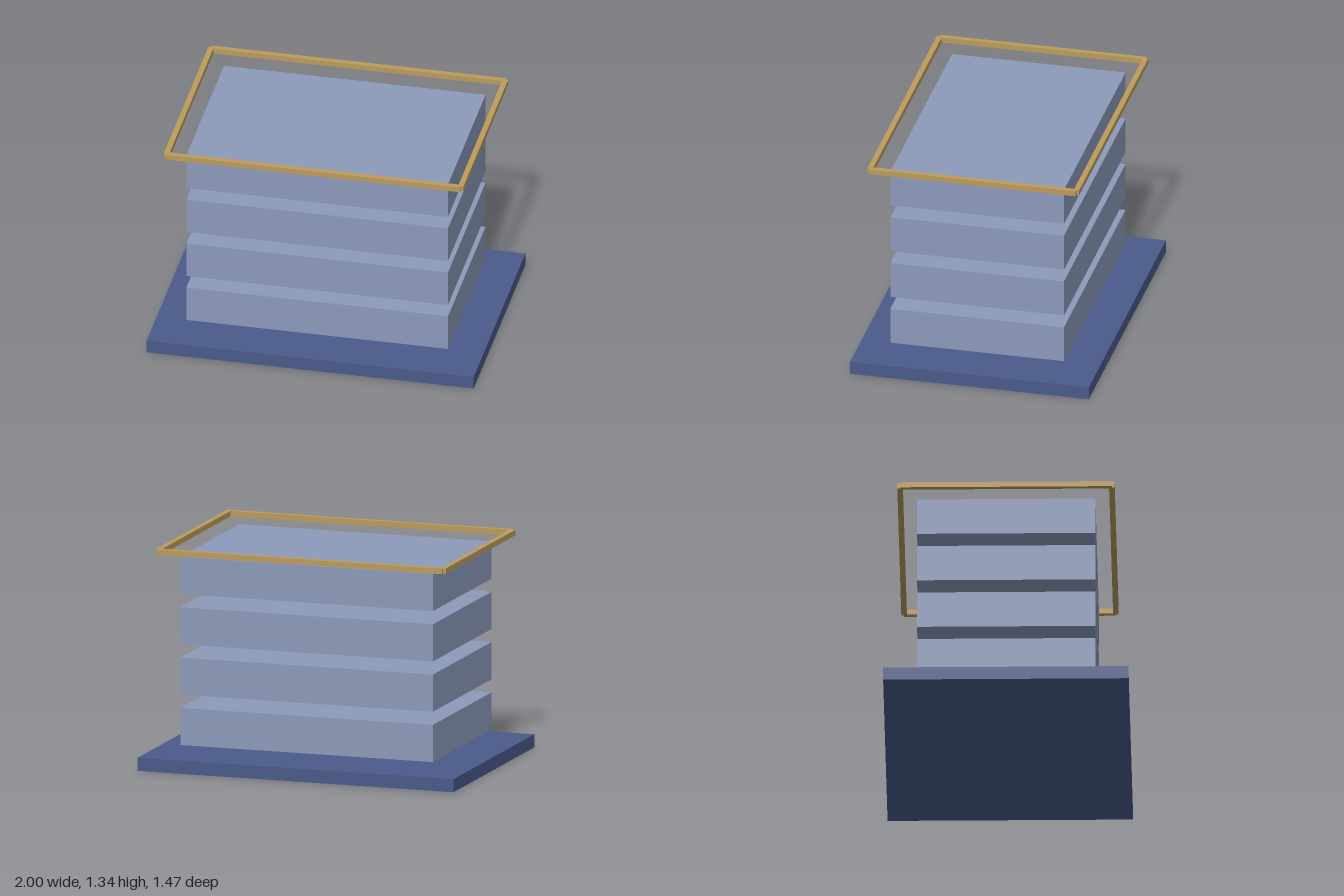
import * as THREE from 'three';

const material = (name, color) => {
  const m = new THREE.MeshStandardMaterial({ color });
  m.name = name;
  return m;
};

export function createModel() {
  const model = new THREE.Group();
  model.name = 'tieredBuilding';

  const navy = material('navy blue', 0x4a5a8a);
  const slate = material('pale slate blue', 0x8c9aba);
  const gold = material('muted gold', 0xbc9c5c);

  // Box placed by its bottom height
  const addBox = (parent, name, mat, [w, h, d], [x, bottom, z]) => {
    const mesh = new THREE.Mesh(new THREE.BoxGeometry(w, h, d), mat);
    mesh.name = name;
    mesh.position.set(x, bottom + h / 2, z);
    parent.add(mesh);
  };

  // Base plate
  addBox(model, 'basePlate', navy, [2, 0.08, 1.4667], [0, 0, 0]);

  // Four floating floors, evenly spaced
  for (let i = 0; i < 4; i++) {
    addBox(model, `floor${i + 1}`, slate, [1.6, 0.2267, 1.0667], [0, 0.1333 + i * 0.3067, 0]);
  }

  // Roof frame: bars end on each other's centre lines, leaving notched corners
  const frame = new THREE.Group();
  frame.name = 'roofFrame';
  model.add(frame);
  const halfX = 0.9, halfZ = 0.6333, bar = 0.0333, bottom = 1.3067;
  for (const s of [1, -1]) {
    addBox(frame, s > 0 ? 'frontBar' : 'backBar', gold, [2 * halfX, bar, bar], [0, bottom, s * halfZ]);
    addBox(frame, s > 0 ? 'leftBar' : 'rightBar', gold, [bar, bar, 2 * halfZ], [s * halfX, bottom, 0]);
  }

  return model;
}
